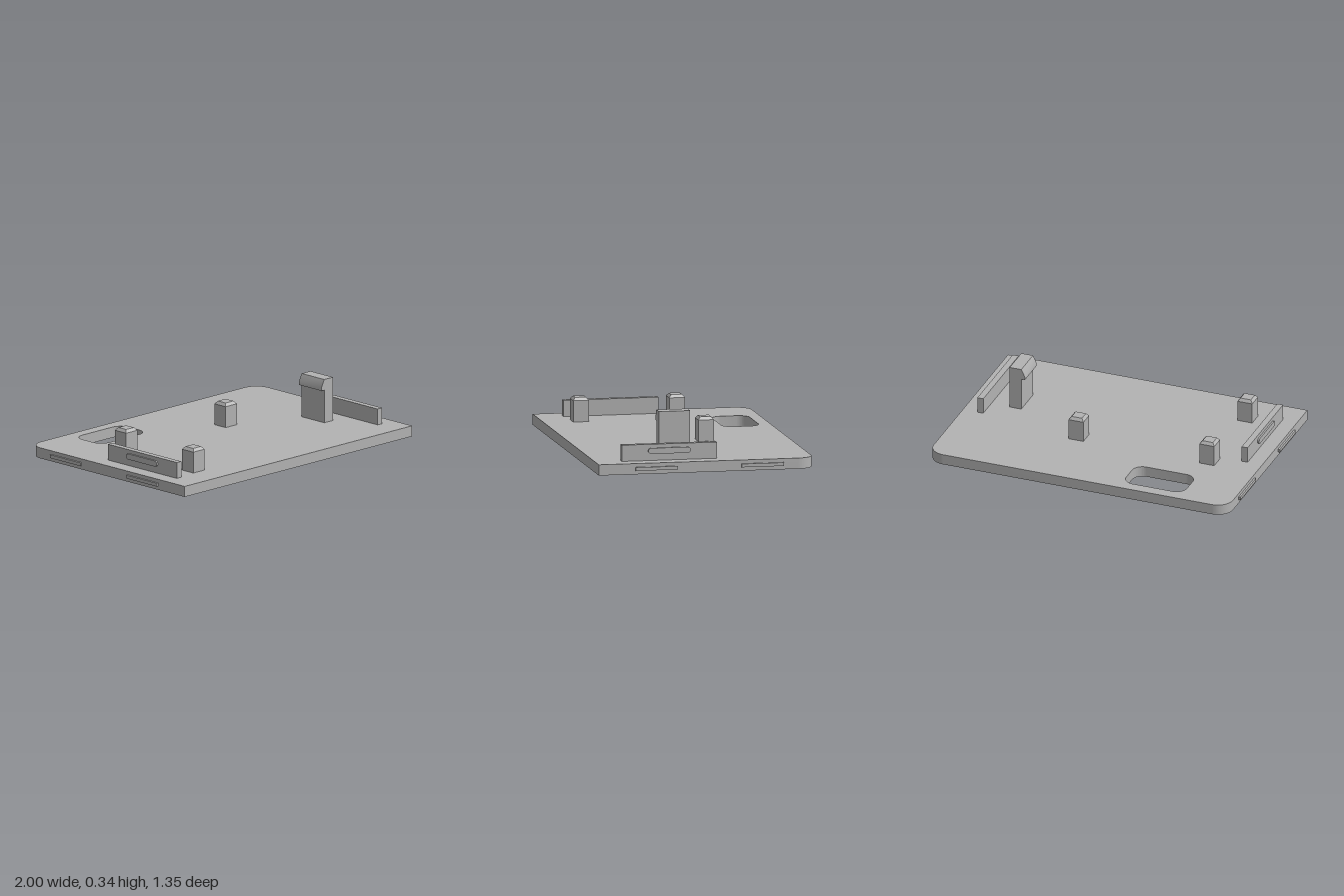
import * as THREE from 'three';
import { toCreasedNormals } from 'three/addons/utils/BufferGeometryUtils.js';

const PLATE_TOP = 0.067;

// Rectangle outline with separate radii for the lower (-y) and upper (+y) corners
function roundedRect(path, x0, y0, x1, y1, rLow, rHigh) {
  path.moveTo(x0 + rLow, y0);
  path.lineTo(x1 - rLow, y0);
  if (rLow) path.absarc(x1 - rLow, y0 + rLow, rLow, -Math.PI / 2, 0);
  path.lineTo(x1, y1 - rHigh);
  path.absarc(x1 - rHigh, y1 - rHigh, rHigh, 0, Math.PI / 2);
  path.lineTo(x0 + rHigh, y1);
  path.absarc(x0 + rHigh, y1 - rHigh, rHigh, Math.PI / 2, Math.PI);
  path.lineTo(x0, y0 + rLow);
  if (rLow) path.absarc(x0 + rLow, y0 + rLow, rLow, Math.PI, Math.PI * 1.5);
  return path;
}

function extrude(shape, depth) {
  const geo = new THREE.ExtrudeGeometry(shape, { depth, bevelEnabled: false, curveSegments: 12 });
  return toCreasedNormals(geo, 0.6);
}

export function createModel() {
  const model = new THREE.Group();
  const grey = new THREE.MeshStandardMaterial({ color: 0xb2b2b2 });
  grey.name = 'grey plastic';

  function add(name, geo, parent = model) {
    const mesh = new THREE.Mesh(geo, grey);
    mesh.name = name;
    parent.add(mesh);
    return mesh;
  }
  function addBox(name, x0, x1, y0, y1, z0, z1) {
    const geo = new THREE.BoxGeometry(Math.abs(x1 - x0), y1 - y0, z1 - z0);
    add(name, geo).position.set((x0 + x1) / 2, (y0 + y1) / 2, (z0 + z1) / 2);
  }

  // Base plate: rounded rear corners and a rounded window
  const outline = roundedRect(new THREE.Shape(), -0.988, -0.677, 0.988, 0.677, 0, 0.1);
  outline.holes.push(roundedRect(new THREE.Path(), -0.668, 0.37, -0.267, 0.604, 0.07, 0.07));
  add('basePlate', extrude(outline, PLATE_TOP).rotateX(-Math.PI / 2));

  // Locating posts with chamfered tops
  const size = 0.098, capHeight = 0.018, shoulder = 0.2;
  for (const [x, z] of [[-0.668, -0.153], [0.196, -0.153], [-0.684, 0.447]]) {
    const post = new THREE.Group();
    post.name = 'post';
    post.position.set(x, 0, z);
    model.add(post);
    const shaftHeight = shoulder - PLATE_TOP;
    add('postShaft', new THREE.BoxGeometry(size, shaftHeight, size), post)
      .position.y = PLATE_TOP + shaftHeight / 2;
    const cap = new THREE.CylinderGeometry((size - 0.03) * Math.SQRT1_2, size * Math.SQRT1_2, capHeight, 4);
    add('postCap', toCreasedNormals(cap.rotateY(Math.PI / 4), 0.3), post)
      .position.y = shoulder + capHeight / 2;
  }

  // Snap hook facing inwards
  const hook = new THREE.Shape([
    [0.655, PLATE_TOP], [0.732, PLATE_TOP], [0.732, 0.343], [0.655, 0.343],
    [0.631, 0.295], [0.631, 0.275], [0.655, 0.275],
  ].map(([x, y]) => new THREE.Vector2(x, y)));
  add('snapHook', extrude(hook, 0.197).translate(0, 0, 0.049));

  // Side walls, their outer catches, and the ribs on the plate edges
  for (const [side, label] of [[1, 'left'], [-1, 'right']]) {
    addBox(label + 'Wall', side * 0.853, side * 0.892, PLATE_TOP, 0.168, -0.086, 0.512);
    const catchShape = roundedRect(new THREE.Shape(), -0.133, -0.018, 0.133, 0.018, 0.0175, 0.0175);
    const catchGeo = extrude(catchShape, 0.02).translate(0, 0, -0.01).rotateY(Math.PI / 2);
    add(label + 'Catch', catchGeo).position.set(side * 0.893, 0.127, 0.214);
    for (const z of [0.314, -0.352]) {
      addBox(label + 'EdgeRib', side * 0.98, side * 1, 0.023, 0.044, z - 0.133, z + 0.133);
    }
  }
  return model;
}
